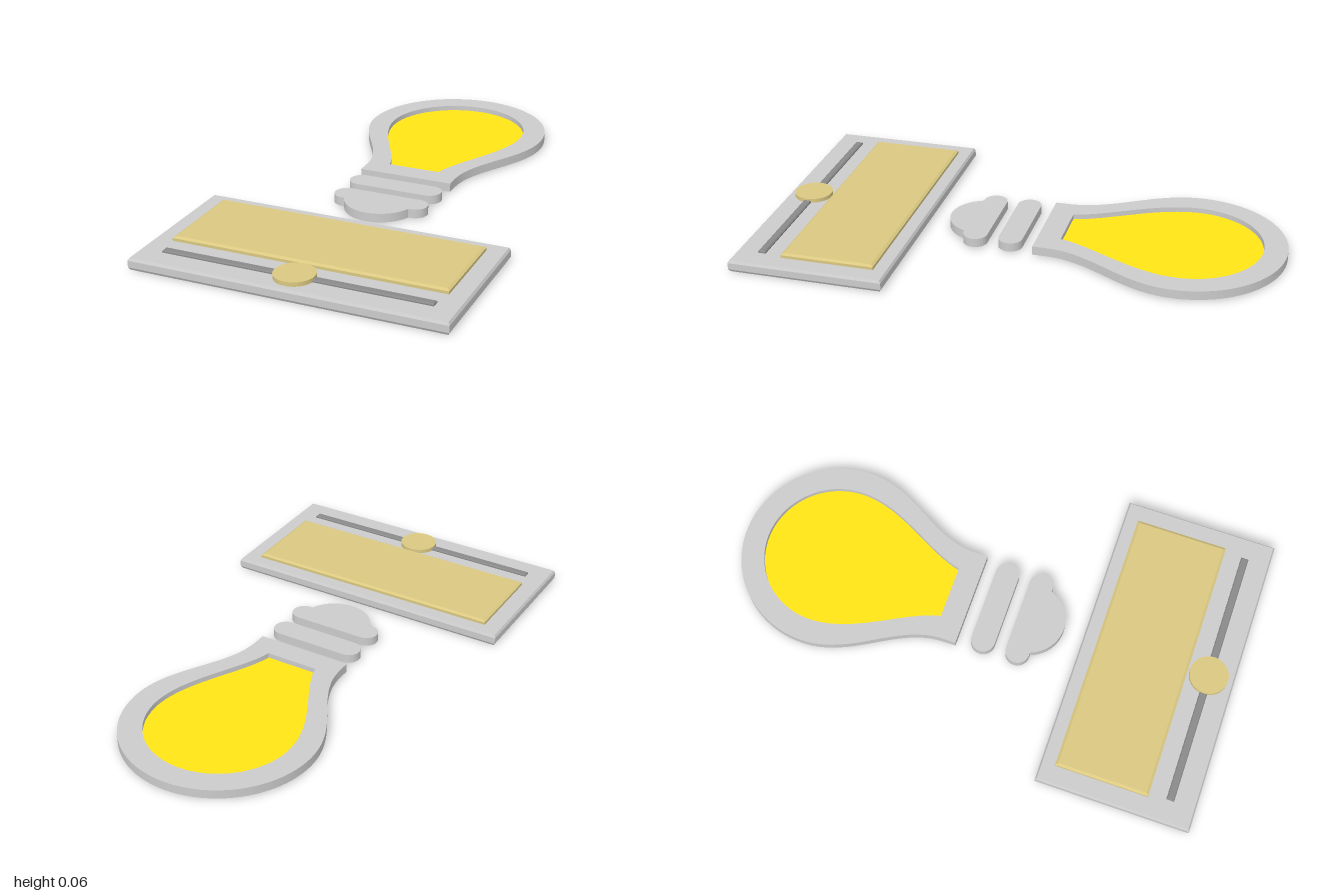
import * as THREE from 'three';
import { toCreasedNormals } from 'three/addons/utils/BufferGeometryUtils.js';

const GREY = 0xcccccc, DARK = 0x8a8a8a, YELLOW = 0xffe516, TAN = 0xdac881;

// Flat slab: the outline's y becomes z, and the thickness runs from y0 up to y1
function slab(name, shape, y0, y1, color, bevel = 0, bevelHeight = bevel) {
  const geo = new THREE.ExtrudeGeometry(shape, {
    depth: y1 - y0 - 2 * bevelHeight, curveSegments: 40, bevelEnabled: bevel > 0,
    bevelSize: bevel, bevelOffset: -bevel, bevelThickness: bevelHeight, bevelSegments: 1,
  });
  geo.rotateX(Math.PI / 2).translate(0, y1 - bevelHeight, 0);
  const mesh = new THREE.Mesh(toCreasedNormals(geo, 0.4), new THREE.MeshStandardMaterial({ color }));
  mesh.name = name;
  return mesh;
}

function rectangle(halfWidth, z0, z1) {
  return new THREE.Shape()
    .moveTo(-halfWidth, z0).lineTo(halfWidth, z0).lineTo(halfWidth, z1).lineTo(-halfWidth, z1).closePath();
}

// Round head of radius r that sweeps down to a neck; c1 and c2 steer the sweep
function bulbOutline(r, neck, c1, c2, zCurve, zEnd) {
  const zc = -0.625;
  return new THREE.Shape()
    .moveTo(-neck, zEnd)
    .lineTo(-neck, zCurve)
    .bezierCurveTo(-c2[0], c2[1], -r, c1, -r, zc)
    .absarc(0, zc, r, Math.PI, Math.PI * 2, false)
    .bezierCurveTo(r, c1, c2[0], c2[1], neck, zCurve)
    .lineTo(neck, zEnd)
    .closePath();
}

// Screw ring with round ends, optionally with a rounded contact cap in front
function ringOutline(zc, cap) {
  const r = 0.047, x = 0.19 - r;
  const shape = new THREE.Shape()
    .moveTo(-x, zc - r)
    .lineTo(x, zc - r)
    .absarc(x, zc, r, -Math.PI / 2, Math.PI / 2, false);
  if (cap) {
    const R = 0.14, a = Math.asin(r / R);
    shape.absarc(0, zc, R, a, Math.PI - a, false);
  }
  shape.lineTo(-x, zc + r).absarc(-x, zc, r, Math.PI / 2, Math.PI * 1.5, false);
  return shape;
}

export function createModel() {
  const model = new THREE.Group();
  model.name = 'lampSwitchSign';

  // Light bulb: frame with an opening, and a sunken glass pane
  const bulb = new THREE.Group();
  bulb.name = 'bulb';
  const glass = () => bulbOutline(0.285, 0.105, -0.45, [0.135, -0.29], -0.15, -0.15);
  const frame = bulbOutline(0.375, 0.19, -0.42, [0.19, -0.3], -0.11, -0.06);
  frame.holes.push(glass());
  bulb.add(
    slab('bulbFrame', frame, 0.005, 0.04, GREY),
    slab('bulbGlass', glass(), 0.01, 0.02, YELLOW),
    slab('screwRing', ringOutline(0.038, false), 0.005, 0.04, GREY),
    slab('screwRingWithCap', ringOutline(0.178, true), 0.005, 0.04, GREY),
  );

  // Control panel: base, raised plate, slider rail and round knob
  const panel = new THREE.Group();
  panel.name = 'controlPanel';
  const knob = new THREE.Shape().absarc(0, 0.9, 0.075, 0, Math.PI * 2, false);
  panel.add(
    slab('panelBase', rectangle(0.597, 0.4, 1), 0, 0.046, GREY, 0.006, 0.01),
    slab('panelPlate', rectangle(0.525, 0.455, 0.818), 0.04, 0.063, TAN, 0.01, 0.006),
    slab('sliderRail', rectangle(0.51, 0.885, 0.915), 0.04, 0.055, DARK, 0.004),
    slab('sliderKnob', knob, 0.046, 0.062, TAN),
  );

  model.add(bulb, panel);
  return model;
}
